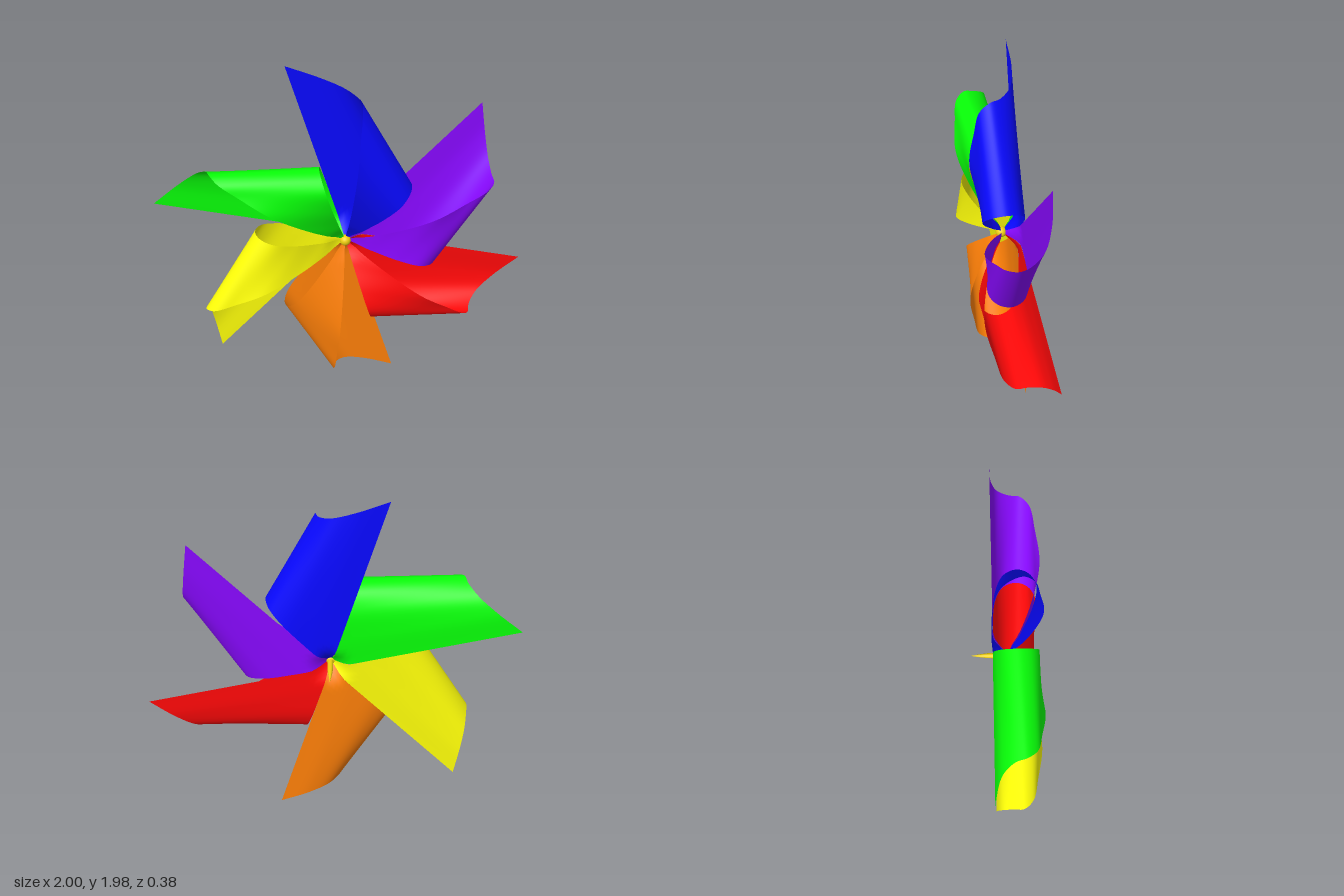
import * as THREE from 'three';

const HUB_Y = 0.988, BACK = -0.066, FRONT = 0.02;
const TIP_R = 1.029, TIP_A = THREE.MathUtils.degToRad(106.3);
const LOOP_A = TIP_A - Math.PI / 3;

// Inner edge: a teardrop loop leaving the hub and curling back to it [radius, z]
const innerEdge = new THREE.CatmullRomCurve3([
  [0, BACK], [0.2, BACK], [0.37, -0.05], [0.465, -0.005], [0.495, 0.065],
  [0.47, 0.13], [0.4, 0.168], [0.28, 0.147], [0.14, 0.088], [0, FRONT],
].map(([r, z]) => new THREE.Vector3(r * Math.cos(LOOP_A), r * Math.sin(LOOP_A), z)));

// Outer edge: from the tip to the bend, then straight back to the hub in front
const tip = new THREE.Vector3(TIP_R * Math.cos(TIP_A), TIP_R * Math.sin(TIP_A), 0);
const bend = new THREE.Vector3(0.077, 0.845, 0);
const hub = new THREE.Vector3();
const along = (a, b, t, z) => a.clone().lerp(b, t).setZ(z);
const outerEdge = new THREE.CatmullRomCurve3([
  along(tip, bend, 0, BACK), along(tip, bend, 0.45, -0.06),
  along(tip, bend, 0.78, -0.027), along(tip, bend, 0.95, 0.035),
  along(tip, bend, 1, 0.09), along(bend, hub, 0.06, 0.142),
  along(bend, hub, 0.2, 0.168), along(bend, hub, 0.42, 0.192),
  along(bend, hub, 0.7, 0.135), along(bend, hub, 1, FRONT),
]);

// Curled sheet ruled between the two edges, drawn forward to the pin at the hub
function bladeGeometry() {
  const geo = new THREE.PlaneGeometry(1, 1, 72, 28);
  const pos = geo.attributes.position, uv = geo.attributes.uv;
  for (let i = 0; i < pos.count; i++) {
    const s = uv.getX(i);
    const p = innerEdge.getPoint(s).lerp(outerEdge.getPoint(s), uv.getY(i));
    const away = THREE.MathUtils.smoothstep(Math.hypot(p.x, p.y), -0.05, 0.12);
    const atHub = THREE.MathUtils.smoothstep(0, -0.05, 0.12);
    const z = THREE.MathUtils.lerp(FRONT, p.z, (away - atHub) / (1 - atHub));
    pos.setXYZ(i, p.x, p.y, z);
  }
  geo.computeVertexNormals();
  return geo;
}

export function createModel() {
  const model = new THREE.Group();
  model.name = 'pinwheel';

  // Six blades, anticlockwise from the top
  const colors = [
    ['blue', 0x0808ff], ['green', 0x08ff08], ['yellow', 0xffff08],
    ['orange', 0xff8008], ['red', 0xff0808], ['purple', 0x8808ff],
  ];
  const geo = bladeGeometry();
  colors.forEach(([name, color], i) => {
    const blade = new THREE.Mesh(geo,
      new THREE.MeshStandardMaterial({ color, side: THREE.DoubleSide }));
    blade.name = name + 'Blade';
    blade.position.y = HUB_Y;
    blade.rotation.z = i * Math.PI / 3;
    model.add(blade);
  });

  // Pin with a round head in front and a point behind
  const gold = new THREE.MeshStandardMaterial({ color: 0xf0d010 });
  const head = new THREE.Mesh(new THREE.SphereGeometry(0.03, 24, 16), gold);
  head.name = 'pinHead';
  head.position.set(0, HUB_Y, FRONT);
  const pin = new THREE.Mesh(new THREE.LatheGeometry([
    [0, -0.19], [0.008, -0.14], [0.014, -0.09], [0.015, -0.06], [0.015, FRONT],
  ].map(([r, y]) => new THREE.Vector2(r, y)), 20), gold);
  pin.name = 'pin';
  pin.position.y = HUB_Y;
  pin.rotation.x = Math.PI / 2;
  model.add(head, pin);
  return model;
}
